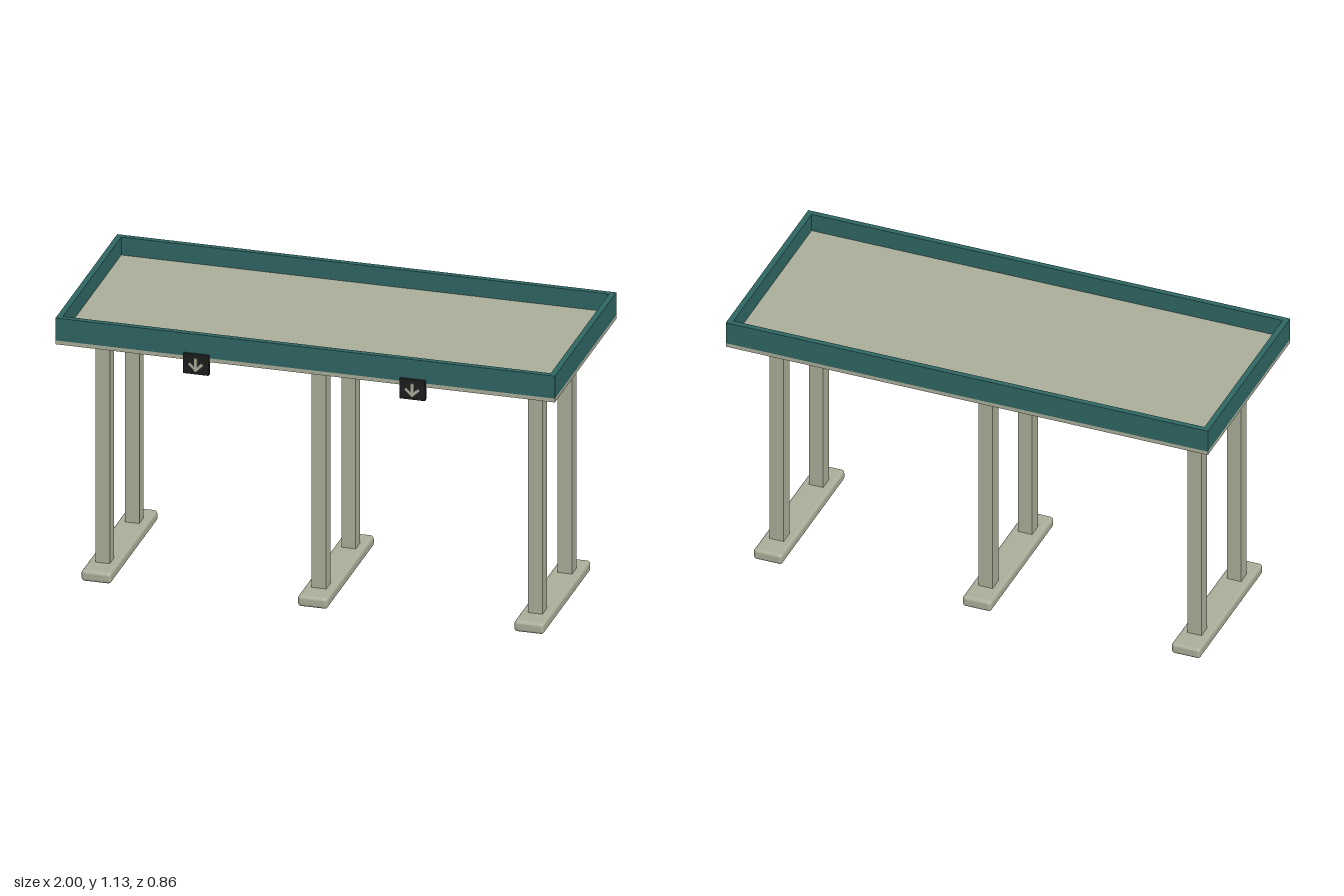
import * as THREE from 'three';
import { RoundedBoxGeometry } from 'three/addons/geometries/RoundedBoxGeometry.js';

const material = (name, color) => {
  const m = new THREE.MeshStandardMaterial({ color });
  m.name = name;
  return m;
};

const rect = (PathType, x0, y0, x1, y1) => {
  const p = new PathType();
  p.moveTo(x0, y0);
  p.lineTo(x1, y0);
  p.lineTo(x1, y1);
  p.lineTo(x0, y1);
  p.closePath();
  return p;
};

export function createModel() {
  const model = new THREE.Group();
  model.name = 'trayTable';
  const stone = material('grey beige', 0xabae99);
  const teal = material('dark teal', 0x2e6663);
  const black = material('black', 0x1c1e1e);

  const add = (name, geometry, mat, x, y, z, parent = model) => {
    const mesh = new THREE.Mesh(geometry, mat);
    mesh.name = name;
    mesh.position.set(x, y, z);
    parent.add(mesh);
    return mesh;
  };

  // Table top: thin slab with a raised floor inside the rim
  const W = 2, D = 0.843, T = 0.023, midZ = -0.007;
  add('tableSlab', new THREE.BoxGeometry(W, 0.016, D), stone, 0, 1.033, midZ);
  add('trayFloor', new THREE.BoxGeometry(W - 2 * T, 0.02, D - 2 * T), stone, 0, 1.05, midZ);

  // Rim: a rectangular frame around the floor
  const frame = rect(THREE.Shape, -W / 2, -D / 2, W / 2, D / 2);
  frame.holes.push(rect(THREE.Path, -W / 2 + T, -D / 2 + T, W / 2 - T, D / 2 - T));
  const rim = new THREE.ExtrudeGeometry(frame, { depth: 0.094, bevelEnabled: false });
  rim.rotateX(-Math.PI / 2);
  add('rim', rim, teal, 0, 1.041, midZ);

  // Three trestles, each with two posts on a rounded foot
  for (const x of [-0.867, 0, 0.867]) {
    const trestle = new THREE.Group();
    trestle.name = 'trestle';
    trestle.position.x = x;
    model.add(trestle);
    add('foot', new RoundedBoxGeometry(0.12, 0.046, 0.65, 3, 0.014), stone, 0, 0.023, -0.006, trestle);
    for (const z of [0.197, -0.207])
      add('post', new THREE.BoxGeometry(0.058, 0.985, 0.058), stone, 0, 0.5375, z, trestle);
  }

  // Down arrow outline for the front plates
  const arrow = new THREE.Shape([
    [-0.006, 0.026], [0.006, 0.026], [0.006, -0.01], [0.023, 0.008], [0.031, 0],
    [0, -0.03], [-0.031, 0], [-0.023, 0.008], [-0.006, -0.01],
  ].map(([x, y]) => new THREE.Vector2(x, y)));

  // Black plates hung on the front edge
  for (const x of [-0.435, 0.432]) {
    const plate = new THREE.Group();
    plate.name = 'arrowPlate';
    plate.position.set(x, 1.013, 0);
    model.add(plate);
    add('plate', new RoundedBoxGeometry(0.104, 0.084, 0.018, 2, 0.003), black, 0, 0, 0.417, plate);
    add('arrow', new THREE.ExtrudeGeometry(arrow, { depth: 0.004, bevelEnabled: false }),
      stone, 0, 0, 0.425, plate);
  }

  return model;
}
